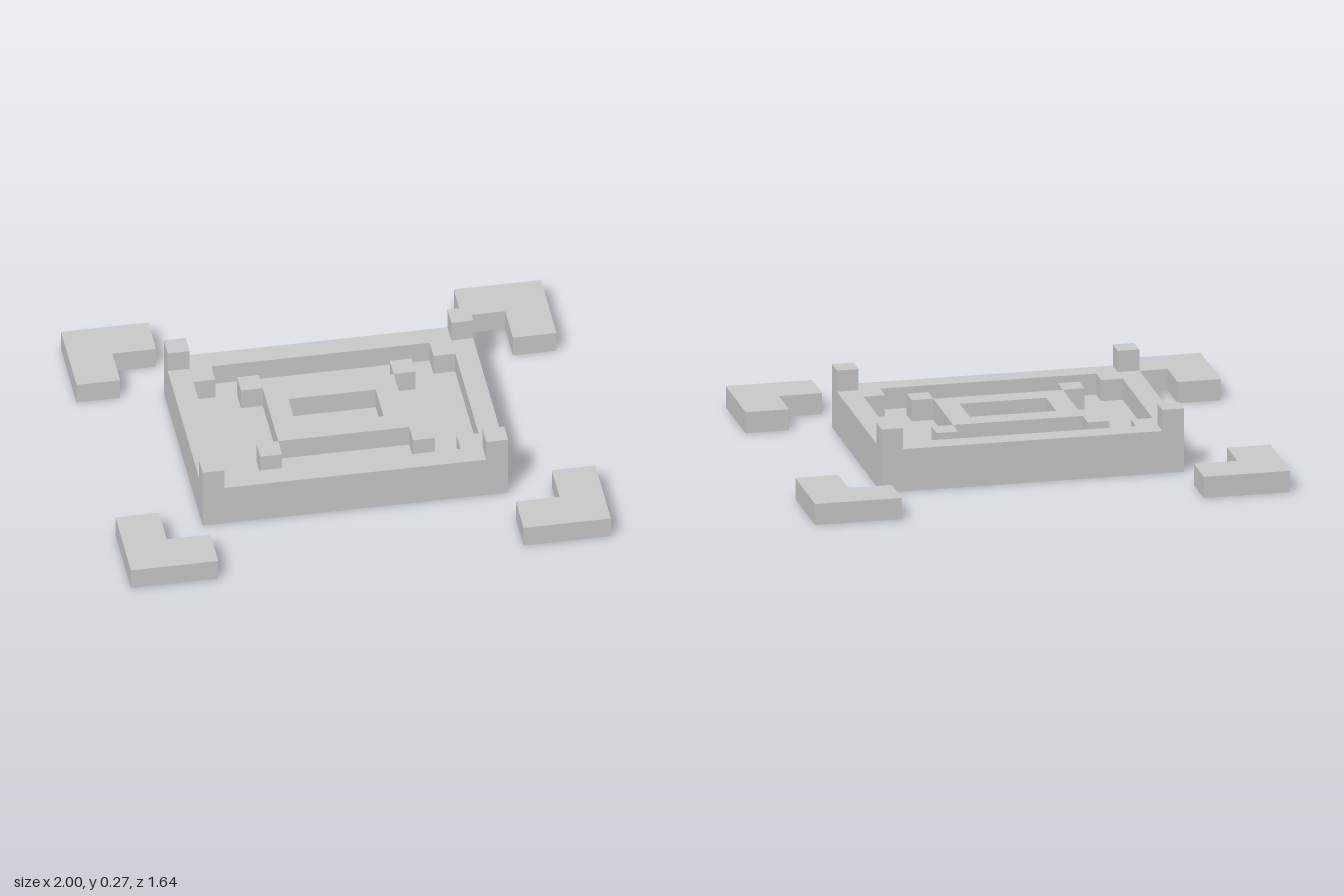
import * as THREE from 'three';

const U = 1 / 11; // one block of the grid
const material = new THREE.MeshStandardMaterial({ color: 0xcccccc, flatShading: true });

const points = (list) => list.map(([x, z]) => new THREE.Vector2(x * U, -z * U));
const rect = (w, d) => [[-w, -d], [w, -d], [w, d], [-w, d]];

// Extrudes a ground-plan outline from height y0 to y1, in blocks
function slab(name, outline, y0, y1, hole) {
  const shape = new THREE.Shape(points(outline));
  // The hole runs against the outline so its walls face inward
  if (hole) shape.holes.push(new THREE.Path(points(hole).reverse()));
  const geometry = new THREE.ExtrudeGeometry(shape, { depth: (y1 - y0) * U, bevelEnabled: false });
  geometry.rotateX(-Math.PI / 2).translate(0, y0 * U, 0);
  const mesh = new THREE.Mesh(geometry, material);
  mesh.name = name;
  return mesh;
}

function cube(name, x, y, z) {
  const mesh = new THREE.Mesh(new THREE.BoxGeometry(U, U, U), material);
  mesh.position.set(x * U, y * U, z * U);
  mesh.name = name;
  return mesh;
}

export function createModel() {
  const model = new THREE.Group();
  model.name = 'courtyardPlatform';

  // Outer wall around a courtyard with notched corners
  const courtyard = [
    [-5, -4], [5, -4], [5, -3], [6, -3], [6, 3], [5, 3],
    [5, 4], [-5, 4], [-5, 3], [-6, 3], [-6, -3], [-5, -3],
  ];
  model.add(slab('outerWall', rect(7, 5), 0, 2, courtyard));
  model.add(slab('courtyardFloor', courtyard, 0, 1));

  // Raised centre with a sunken basin
  model.add(slab('basinRim', rect(3, 2), 1, 2, rect(2, 1)));

  // Parts repeated at all four corners
  const cornerL = [[7, 9], [11, 9], [11, 5], [9, 5], [9, 7], [7, 7]];
  for (const sx of [-1, 1]) {
    for (const sz of [-1, 1]) {
      model.add(cube('wallPost', 6.5 * sx, 2.5, 4.5 * sz));
      model.add(cube('basinBlock', 3.5 * sx, 1.5, 2.5 * sz));
      model.add(slab('cornerBlock', cornerL.map(([x, z]) => [x * sx, z * sz]), 0, 1));
    }
  }
  return model;
}
